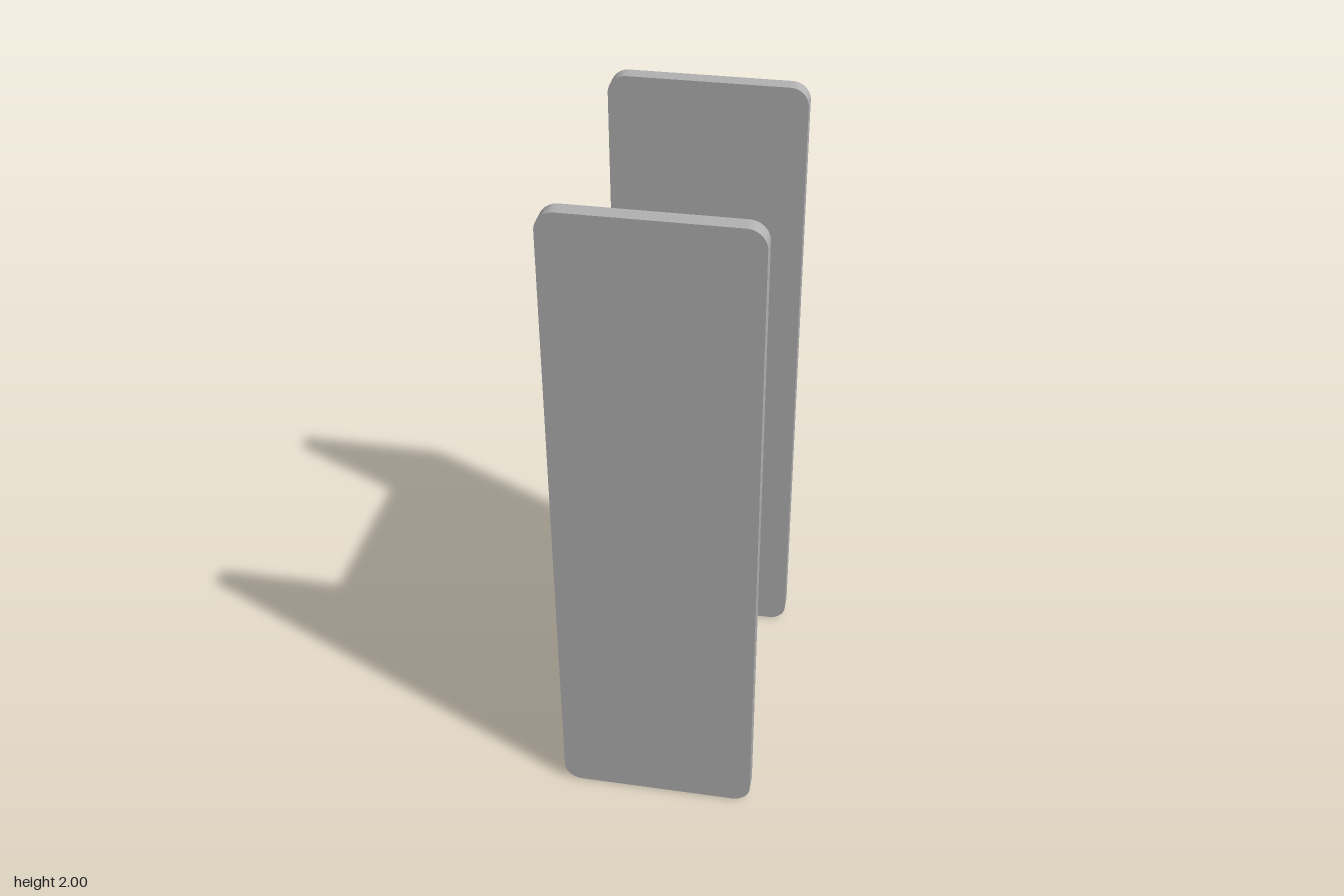
import * as THREE from 'three';
import { toCreasedNormals } from 'three/addons/utils/BufferGeometryUtils.js';

const WIDTH = 0.59, HEIGHT = 2, THICK = 0.05, RADIUS = 0.055;
const INNER_Z = 0.41; // half the gap between the two end panels

// Upright rectangle with rounded corners, standing on y = 0
function roundedRect(w, h, r) {
  const s = new THREE.Shape();
  const x = w / 2;
  s.absarc(x - r, r, r, -Math.PI / 2, 0);
  s.absarc(x - r, h - r, r, 0, Math.PI / 2);
  s.absarc(-x + r, h - r, r, Math.PI / 2, Math.PI);
  s.absarc(-x + r, r, r, Math.PI, Math.PI * 1.5);
  s.closePath();
  return s;
}

export function createModel() {
  const group = new THREE.Group();
  group.name = 'panelFrame';
  const grey = new THREE.MeshStandardMaterial({ color: 0xb2b2b2 });
  grey.name = 'grey';

  // Front and back end panels
  const endGeometry = toCreasedNormals(
    new THREE.ExtrudeGeometry(roundedRect(WIDTH, HEIGHT, RADIUS), {
      depth: THICK, bevelEnabled: false, curveSegments: 10,
    }), Math.PI / 6);
  for (const [name, z] of [['frontPanel', INNER_Z], ['backPanel', -INNER_Z - THICK]]) {
    const panel = new THREE.Mesh(endGeometry, grey);
    panel.name = name;
    panel.position.z = z;
    group.add(panel);
  }

  // Connecting board, flush with the right-hand edges of the end panels
  const bottom = 0.16, top = 1.365;
  const board = new THREE.Mesh(
    new THREE.BoxGeometry(THICK, top - bottom, INNER_Z * 2), grey);
  board.name = 'connectingBoard';
  board.position.set(-WIDTH / 2 + THICK / 2, (bottom + top) / 2, 0);
  group.add(board);

  return group;
}
